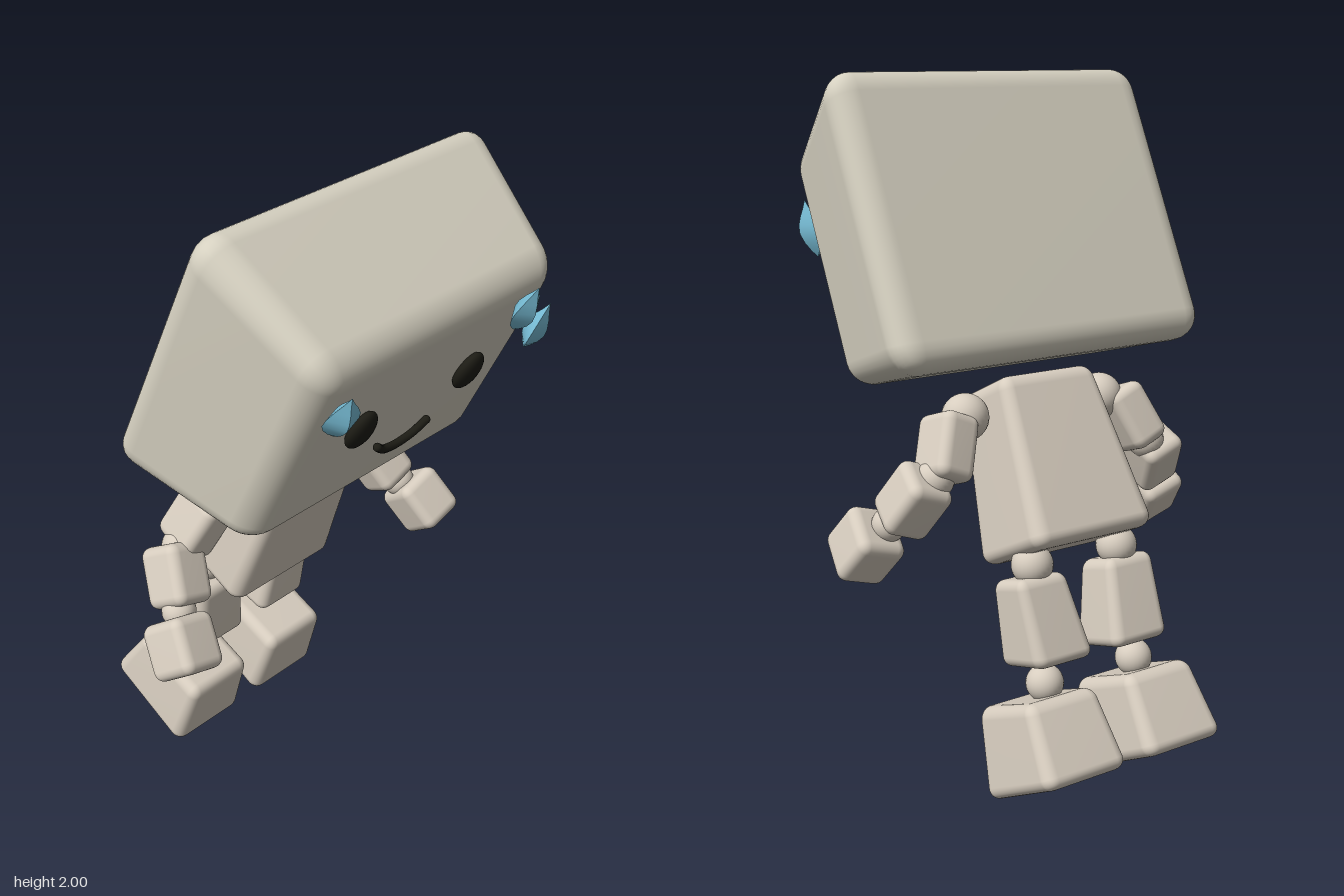
import * as THREE from 'three';
import { RoundedBoxGeometry } from 'three/addons/geometries/RoundedBoxGeometry.js';
import { mergeVertices, toCreasedNormals } from 'three/addons/utils/BufferGeometryUtils.js';

const material = (name, color) => {
  const m = new THREE.MeshStandardMaterial({ color });
  m.name = name;
  return m;
};
const headMat = material('headBeige', 0xd5d0c0);
const bodyMat = material('bodyBeige', 0xd7cdbf);
const darkMat = material('faceBlack', 0x1d1c15);
const dropMat = material('dropBlue', 0x79bfd8);

function add(parent, name, geometry, mat, position = [0, 0, 0]) {
  const mesh = new THREE.Mesh(geometry, mat);
  mesh.name = name;
  mesh.position.set(...position);
  parent.add(mesh);
  return mesh;
}

// Smooth box with soft edges
function softBox(w, h, d, r) {
  const g = new RoundedBoxGeometry(w, h, d, 4, r);
  for (const key of ['normal', 'uv']) g.deleteAttribute(key);
  g.clearGroups();
  const merged = mergeVertices(g, 1e-5);
  merged.computeVertexNormals();
  return merged;
}

// Soft box warped to four edges running along x, each [z, y, x0, x1]:
// front top, back top, back bottom, front bottom
function warpedBox(ft, bt, bb, fb, r) {
  const dist = (a, b) => Math.hypot(a[0] - b[0], a[1] - b[1]);
  const w = [ft, bt, bb, fb].reduce((s, e) => s + (e[3] - e[2]) / 4, 0);
  const h = (dist(ft, fb) + dist(bt, bb)) / 2;
  const d = (dist(ft, bt) + dist(fb, bb)) / 2;
  const g = softBox(w, h, d, r);
  const p = g.attributes.position;
  const mix = THREE.MathUtils.lerp;
  for (let i = 0; i < p.count; i++) {
    const u = p.getX(i) / w + 0.5, v = p.getY(i) / h + 0.5, t = p.getZ(i) / d + 0.5;
    const at = k => mix(mix(bb[k], fb[k], t), mix(bt[k], ft[k], t), v);
    p.setXYZ(i, mix(at(2), at(3), u), at(1), at(0));
  }
  g.computeVertexNormals();
  return g;
}

const ball = r => new THREE.SphereGeometry(r, 28, 20);

// Four-ridged water drop, pointed at both ends
function dropGeometry() {
  const profile = [[0, -0.073], [0.022, -0.057], [0.042, -0.037], [0.054, -0.014],
    [0.05, 0.008], [0.034, 0.034], [0.016, 0.056], [0, 0.08]];
  const g = new THREE.LatheGeometry(profile.map(([x, y]) => new THREE.Vector2(x, y)), 4);
  g.scale(1, 1, 0.6);
  return toCreasedNormals(g, 0.65);
}

export function createModel() {
  const model = new THREE.Group();
  model.name = 'blockRobot';

  // Head and torso
  add(model, 'head', warpedBox(
    [0.524, 1.741, -0.45, 0.45], [0.146, 2.04, -0.537, 0.537],
    [-0.241, 1.244, -0.537, 0.537], [0.232, 1.117, -0.45, 0.45], 0.08), headMat);
  add(model, 'torso', warpedBox(
    [0.08, 1.085, -0.16, 0.16], [-0.138, 1.187, -0.16, 0.16],
    [-0.39, 0.758, -0.21, 0.21], [-0.09, 0.615, -0.21, 0.21], 0.04), bodyMat);

  // Face, built on the tilted front of the head
  const face = new THREE.Group();
  face.name = 'face';
  face.position.set(0, 1.429, 0.378);
  face.rotation.x = THREE.MathUtils.degToRad(25);
  model.add(face);
  for (const s of [-1, 1]) {
    const eye = add(face, s > 0 ? 'leftEye' : 'rightEye', ball(1), darkMat, [s * 0.212, 0.05, 0.012]);
    eye.scale.set(0.048, 0.066, 0.025);
  }
  const smile = new THREE.CatmullRomCurve3(
    [[-0.098, -0.08], [-0.06, -0.112], [0, -0.125], [0.06, -0.112], [0.098, -0.08]]
      .map(([x, y]) => new THREE.Vector3(x, y, 0.025)));
  add(face, 'smile', new THREE.TubeGeometry(smile, 32, 0.012, 10), darkMat);
  for (const s of [-1, 1]) add(face, 'smileEnd', ball(0.012), darkMat, [s * 0.098, -0.08, 0.025]);

  // Sweat drops: x, y, height scale, turn
  for (const [x, y, size, turn] of [[-0.392, 0.233, 0.93, -0.25], [0.28, 0.283, 1.05, 0], [0.415, 0.15, 1.16, 0.35]]) {
    const drop = add(face, 'sweatDrop', dropGeometry(), dropMat, [x, y, 0.038]);
    drop.scale.y = size;
    drop.rotation.y = turn;
  }

  for (const s of [-1, 1]) {
    const side = s > 0 ? 'left' : 'right';

    // Arm: rounded blocks rolled outwards and pitched, with ball joints
    const arm = new THREE.Group();
    arm.name = side + 'Arm';
    model.add(arm);
    for (const [name, size, pos, roll, pitch] of [
      ['upperArm', [0.12, 0.19, 0.15], [0.325, 0.995, -0.106], 23, 20],
      ['forearm', [0.14, 0.18, 0.145], [0.425, 0.86, -0.09], 20, -32],
      ['hand', [0.15, 0.165, 0.165], [0.513, 0.715, 0.025], 17, -38],
    ]) {
      const part = add(arm, name, softBox(...size, 0.03), bodyMat, [s * pos[0], pos[1], pos[2]]);
      part.rotation.set(THREE.MathUtils.degToRad(pitch), 0, s * THREE.MathUtils.degToRad(roll), 'ZXY');
    }
    add(arm, 'shoulderJoint', ball(0.068), bodyMat, [s * 0.238, 1.065, -0.07]);
    add(arm, 'elbowJoint', ball(0.055), bodyMat, [s * 0.375, 0.92, -0.125]);
    add(arm, 'wristJoint', ball(0.05), bodyMat, [s * 0.47, 0.785, -0.035]);

    // Leg: tapered thigh and foot block, with ball joints
    const leg = new THREE.Group();
    leg.name = side + 'Leg';
    model.add(leg);
    const edge = (z, y, a, b) => [z, y, Math.min(s * a, s * b), Math.max(s * a, s * b)];
    add(leg, 'thigh', warpedBox(
      edge(-0.193, 0.615, 0.075, 0.237), edge(-0.33, 0.655, 0.075, 0.237),
      edge(-0.426, 0.422, 0.035, 0.232), edge(-0.228, 0.366, 0.035, 0.232), 0.03), bodyMat);
    add(leg, 'foot', warpedBox(
      edge(-0.194, 0.244, 0.055, 0.29), edge(-0.445, 0.346, 0.055, 0.29),
      edge(-0.584, 0.154, 0.035, 0.315), edge(-0.276, -0.008, 0.035, 0.315), 0.035), bodyMat);
    add(leg, 'hipJoint', ball(0.06), bodyMat, [s * 0.15, 0.67, -0.27]);
    add(leg, 'ankleJoint', ball(0.054), bodyMat, [s * 0.16, 0.345, -0.345]);
  }
  return model;
}
